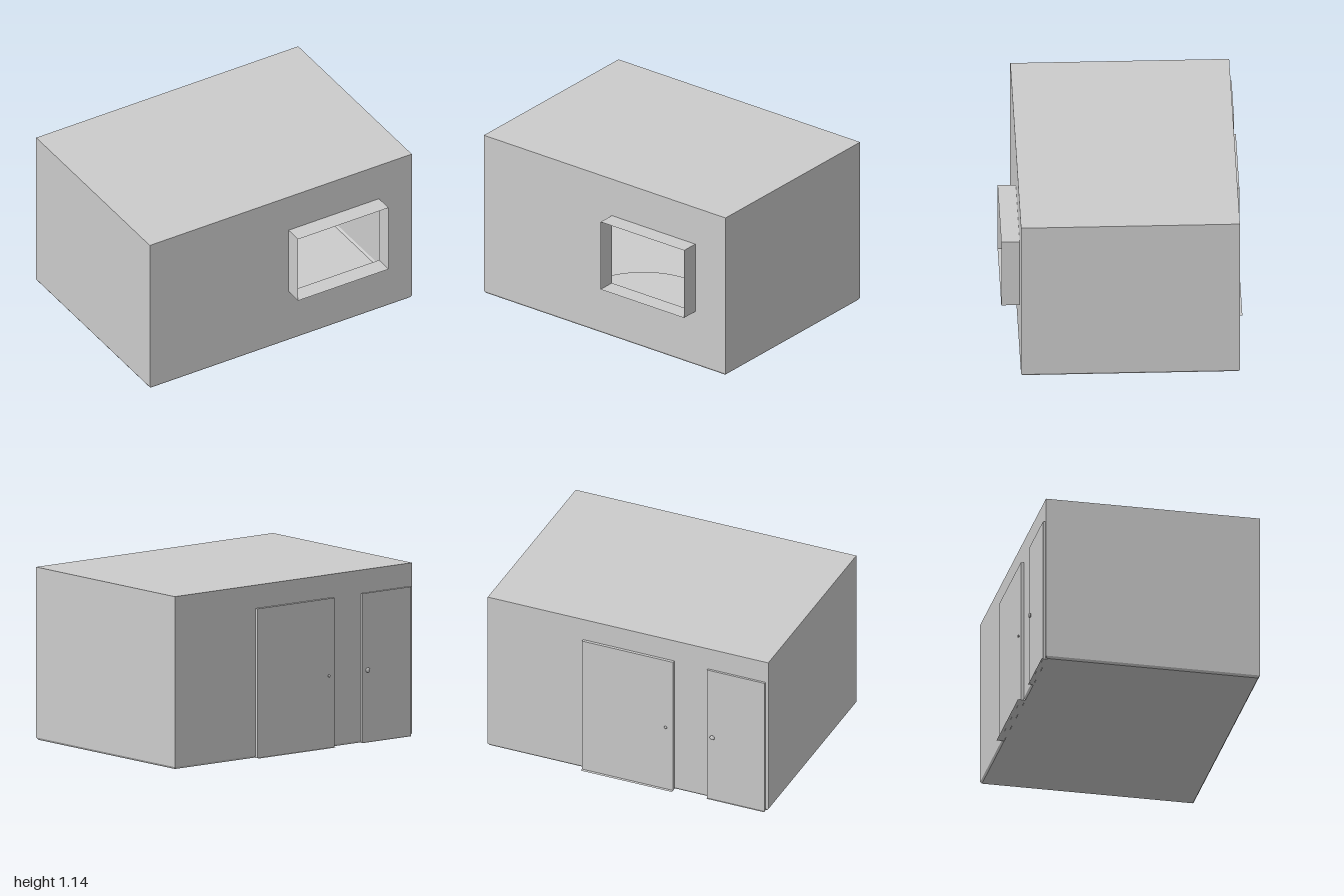
import * as THREE from 'three';

// Room extents
const X = 1, ZF = 0.675, ZB = -0.755, H = 1.145, SK = 0.015, IN = 0.01;

const mat = new THREE.MeshStandardMaterial({ color: 0xcccccc, side: THREE.DoubleSide });

function add(parent, name, geo, x = 0, y = 0, z = 0) {
  const m = new THREE.Mesh(geo, mat);
  m.name = name;
  m.position.set(x, y, z);
  parent.add(m);
  return m;
}

// Flat four-cornered sheet
function quad(parent, name, a, b, c, d) {
  const g = new THREE.BufferGeometry();
  g.setAttribute('position', new THREE.Float32BufferAttribute([...a, ...b, ...c, ...d], 3));
  g.setIndex([0, 1, 2, 0, 2, 3]);
  g.computeVertexNormals();
  return add(parent, name, g);
}

const shape = (pts) => new THREE.Shape(pts.map(([x, y]) => new THREE.Vector2(x, y)));

// Door set into a shallow pocket that projects behind the wall
function makeDoor(name, x0, x1, top, depth, sill, knobX, knobR) {
  const g = new THREE.Group();
  g.name = name;
  const z = ZB - depth;
  quad(g, 'doorPanel', [x1, 0, z], [x0, 0, z], [x0, top, z], [x1, top, z]);
  quad(g, 'doorHead', [x0, top, ZB], [x1, top, ZB], [x1, top, z], [x0, top, z]);
  quad(g, 'doorJambRight', [x0, 0, z], [x0, 0, ZB], [x0, top, ZB], [x0, top, z]);
  quad(g, 'doorJambLeft', [x1, 0, ZB], [x1, 0, z], [x1, top, z], [x1, top, ZB]);
  quad(g, 'threshold', [x0, 0.001, ZB + IN], [x1, 0.001, ZB + IN], [x1, 0.001, sill], [x0, 0.001, sill]);
  const stem = add(g, 'knobStem', new THREE.CylinderGeometry(knobR * 0.5, knobR * 0.5, 0.012, 12), knobX, 0.48, z - 0.004);
  stem.rotation.x = Math.PI / 2;
  const knob = add(g, 'knob', new THREE.SphereGeometry(knobR, 20, 14), knobX, 0.48, z - 0.008);
  knob.scale.z = 0.5;
  return g;
}

export function createModel() {
  const room = new THREE.Group();
  room.name = 'room';

  // Front wall with the window opening
  const wx0 = 0.06, wx1 = 0.75, wy0 = 0.39, wy1 = 0.88, wz = 0.795;
  const front = shape([[-X, SK], [X, SK], [X, H], [-X, H]]);
  front.holes.push(new THREE.Path([[wx0, wy0], [wx0, wy1], [wx1, wy1], [wx1, wy0]].map(([x, y]) => new THREE.Vector2(x, y))));
  add(room, 'frontWall', new THREE.ShapeGeometry(front), 0, 0, ZF);

  // Window box projecting forward
  const win = new THREE.Group();
  win.name = 'windowBox';
  const corners = [[wx0, wy0], [wx1, wy0], [wx1, wy1], [wx0, wy1]];
  ['windowSill', 'windowLeftSide', 'windowHead', 'windowRightSide'].forEach((name, i) => {
    const a = corners[i], b = corners[(i + 1) % 4];
    quad(win, name, [...a, ZF], [...b, ZF], [...b, wz], [...a, wz]);
  });
  room.add(win);

  // Back wall, notched around both doorways
  const s0 = -0.98, s1 = -0.57, b0 = -0.33, b1 = 0.32, top = 0.99;
  const back = shape([[-X, SK], [s0, SK], [s0, top], [s1, top], [s1, SK], [b0, SK], [b0, top],
    [b1, top], [b1, SK], [X, SK], [X, H], [-X, H]]);
  const backGeo = new THREE.ShapeGeometry(back);
  backGeo.scale(-1, 1, 1).rotateY(Math.PI);
  // The mirrored sheet is turned so its outer side faces backward
  const idx = backGeo.index.array;
  for (let i = 0; i < idx.length; i += 3) [idx[i], idx[i + 1]] = [idx[i + 1], idx[i]];
  backGeo.computeVertexNormals();
  // Keep the winding facing -z
  if (backGeo.attributes.normal.getZ(0) > 0) {
    for (let i = 0; i < idx.length; i += 3) [idx[i], idx[i + 1]] = [idx[i + 1], idx[i]];
    backGeo.computeVertexNormals();
  }
  add(room, 'backWall', backGeo, 0, 0, ZB);

  // Side walls with their sloping foot
  for (const s of [1, -1]) {
    const n = s > 0 ? 'left' : 'right';
    const zs = s > 0 ? [ZF, ZB] : [ZB, ZF];
    const inset = (z) => z - Math.sign(z) * IN;
    quad(room, n + 'Wall', [s * X, SK, zs[0]], [s * X, SK, zs[1]], [s * X, H, zs[1]], [s * X, H, zs[0]]);
    const f = s * (X - IN);
    quad(room, n + 'WallFoot', [f, 0, inset(zs[0])], [f, 0, inset(zs[1])], [s * X, SK, zs[1]], [s * X, SK, zs[0]]);
  }

  // Sloping foot of the front wall and of the back wall between the doors
  const foot = (x) => Math.max(-X + IN, Math.min(X - IN, x));
  quad(room, 'frontWallFoot', [foot(-X), 0, ZF - IN], [foot(X), 0, ZF - IN], [X, SK, ZF], [-X, SK, ZF]);
  for (const [a, b] of [[-X, s0], [s1, b0], [b1, X]])
    quad(room, 'backWallFoot', [foot(b), 0, ZB + IN], [foot(a), 0, ZB + IN], [a, SK, ZB], [b, SK, ZB]);

  // Ceiling and floor
  quad(room, 'ceiling', [-X, H, ZF], [X, H, ZF], [X, H, ZB], [-X, H, ZB]);
  const fx = X - IN;
  quad(room, 'floor', [-fx, 0, ZB + IN], [fx, 0, ZB + IN], [fx, 0, ZF - IN], [-fx, 0, ZF - IN]);

  // Round rug
  add(room, 'rug', new THREE.CylinderGeometry(0.46, 0.46, 0.004, 48), -0.08, 0.003, 0.16);

  // Doors
  room.add(makeDoor('largeDoor', b0, b1, top, 0.02, -0.795, -0.28, 0.01));
  room.add(makeDoor('smallDoor', s0, s1, top, 0.015, -0.78, -0.61, 0.017));
  return room;
}
